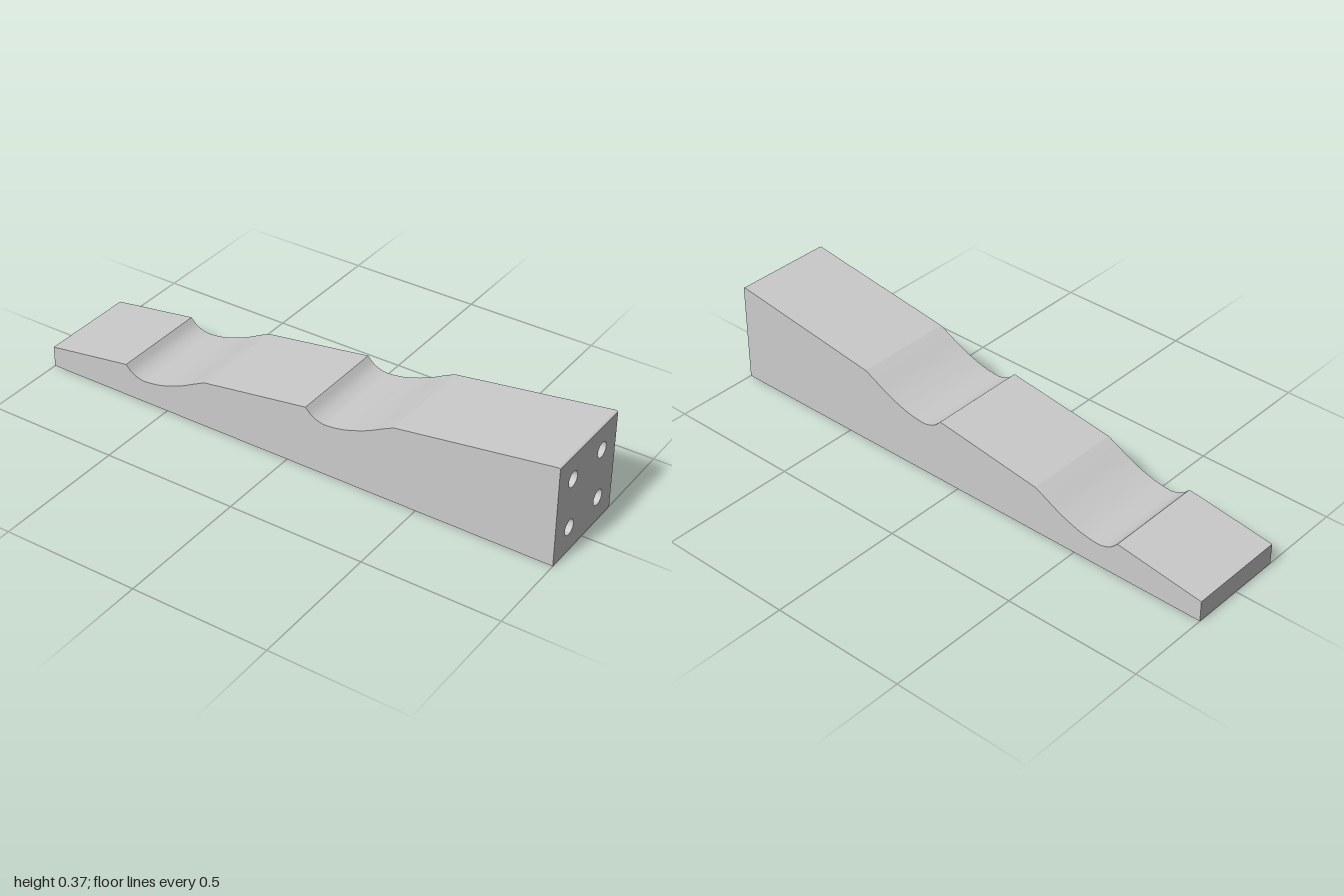
import * as THREE from 'three';
import { toCreasedNormals } from 'three/addons/utils/BufferGeometryUtils.js';

const HALF_WIDTH = 0.185, END_HEIGHT = 0.369;
const HOLE_RADIUS = 0.028, HOLE_DEPTH = 0.15;
const HOLES = [0.093, 0.277].flatMap(y => [-0.093, 0.093].map(z => [z, y]));

// Scooped finger notch, relative to its left lip
const NOTCH = [[0, 0], [0.025, -0.024], [0.055, -0.037], [0.085, -0.04],
  [0.15, -0.03], [0.23, -0.002], [0.3, 0.033], [0.337, 0.051]];

function notchPoints(x, y) {
  const points = NOTCH.map(([dx, dy]) => new THREE.Vector2(x + dx, y + dy));
  return new THREE.SplineCurve(points).getSpacedPoints(40);
}

// Drops the wall at x = 1, which the drilled end face replaces
function removeEndWall(geometry) {
  const p = geometry.attributes.position;
  const kept = [];
  for (let i = 0; i < p.count; i += 3) {
    if ([0, 1, 2].every(k => p.getX(i + k) > 0.9999)) continue;
    for (let k = 0; k < 3; k++) kept.push(p.getX(i + k), p.getY(i + k), p.getZ(i + k));
  }
  const open = new THREE.BufferGeometry();
  open.setAttribute('position', new THREE.Float32BufferAttribute(kept, 3));
  return open;
}

export function createModel() {
  const group = new THREE.Group();
  group.name = 'notchedWedge';
  const grey = new THREE.MeshStandardMaterial({ color: 0xcccccc });
  const inner = new THREE.MeshStandardMaterial({ color: 0xcccccc, side: THREE.BackSide });

  const add = (name, geometry, material = grey) => {
    const mesh = new THREE.Mesh(geometry, material);
    mesh.name = name;
    group.add(mesh);
    return mesh;
  };

  // Wedge with two notches along its sloping top
  const profile = new THREE.Shape([
    new THREE.Vector2(-1, 0),
    new THREE.Vector2(1, 0),
    new THREE.Vector2(1, END_HEIGHT),
    new THREE.Vector2(0.993, 0.372),
    ...notchPoints(0.075, 0.237).reverse(),
    ...notchPoints(-0.672, 0.126).reverse(),
    new THREE.Vector2(-1, 0.078),
  ]);
  const body = new THREE.ExtrudeGeometry(profile, { depth: 2 * HALF_WIDTH, bevelEnabled: false });
  body.translate(0, 0, -HALF_WIDTH);
  add('wedgeBody', toCreasedNormals(removeEndWall(body), 0.2));

  // Tall end face with four holes
  const face = new THREE.Shape([
    new THREE.Vector2(-HALF_WIDTH, 0),
    new THREE.Vector2(HALF_WIDTH, 0),
    new THREE.Vector2(HALF_WIDTH, END_HEIGHT),
    new THREE.Vector2(-HALF_WIDTH, END_HEIGHT),
  ]);
  for (const [z, y] of HOLES) {
    face.holes.push(new THREE.Path().absarc(-z, y, HOLE_RADIUS, 0, Math.PI * 2, true));
  }
  add('endFace', new THREE.ShapeGeometry(face, 16).rotateY(Math.PI / 2).translate(1, 0, 0));

  // Blind bores behind the holes
  const bore = new THREE.CylinderGeometry(HOLE_RADIUS, HOLE_RADIUS, HOLE_DEPTH, 32, 1, true)
    .rotateZ(Math.PI / 2);
  const floor = new THREE.CircleGeometry(HOLE_RADIUS, 32).rotateY(Math.PI / 2);
  for (const [z, y] of HOLES) {
    add('boreWall', bore, inner).position.set(1 - HOLE_DEPTH / 2, y, z);
    add('boreFloor', floor).position.set(1 - HOLE_DEPTH, y, z);
  }
  return group;
}
